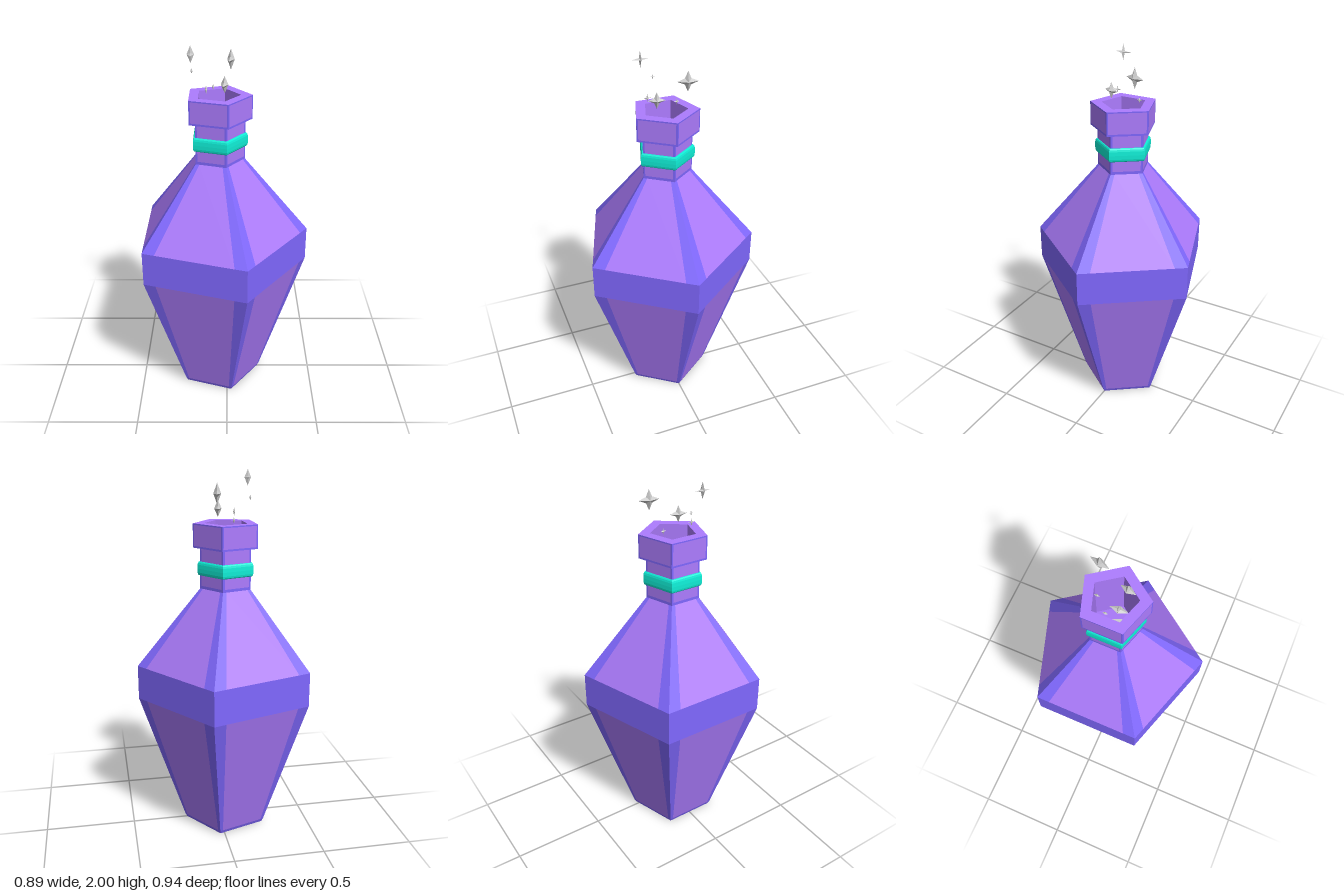
import * as THREE from 'three';

const AXIS_X = -0.048;
const SIDES = 5;

const flat = (color) => new THREE.MeshStandardMaterial({ color, flatShading: true });

function addMesh(parent, name, geometry, material) {
  const mesh = new THREE.Mesh(geometry, material);
  mesh.name = name;
  parent.add(mesh);
  return mesh;
}

function bufferFrom(positions) {
  const g = new THREE.BufferGeometry();
  g.setAttribute('position', new THREE.Float32BufferAttribute(positions, 3));
  g.computeVertexNormals();
  return g;
}

// Point on a pentagon side: t runs from one corner to the next
function sidePoint(side, t, r, y) {
  const a = (side / SIDES) * Math.PI * 2;
  const b = ((side + 1) / SIDES) * Math.PI * 2;
  return [
    r * THREE.MathUtils.lerp(Math.cos(a), Math.cos(b), t), y,
    r * THREE.MathUtils.lerp(Math.sin(a), Math.sin(b), t),
  ];
}

// Quad on a side between two rings, from fractions [s0,s1] at the start ring to [e0,e1] at the end ring
function addQuad(out, side, [r0, y0], [r1, y1], s0, s1, e0, e1) {
  const a = sidePoint(side, s0, r0, y0);
  const b = sidePoint(side, e0, r1, y1);
  const c = sidePoint(side, e1, r1, y1);
  const d = sidePoint(side, s1, r0, y0);
  out.push(...a, ...b, ...c, ...a, ...c, ...d);
}

// Bottle bands: start [radius, y], end [radius, y], trim width as a fraction of the side at start and end.
// A trim of 0.5 colours the whole band, 0 leaves it plain.
const bands = [
  [[0.233, 0], [0.243, 0.02], 0.5, 0.5],
  [[0.243, 0.02], [0.493, 0.775], 0.06, 0.12],
  [[0.493, 0.775], [0.493, 0.965], 0.5, 0.5],
  [[0.493, 0.965], [0.143, 1.385], 0.12, 0.12],
  [[0.143, 1.385], [0.143, 1.4], 0.5, 0.5],
  [[0.143, 1.4], [0.143, 1.605], 0.06, 0.06],
  [[0.143, 1.605], [0.18, 1.605], 0, 0],
  [[0.18, 1.605], [0.18, 1.615], 0.5, 0.5],
  [[0.18, 1.615], [0.18, 1.725], 0.04, 0.04],
  [[0.18, 1.725], [0.18, 1.732], 0.5, 0.5],
  [[0.18, 1.732], [0.12, 1.732], 0, 0],
  // inner wall, down to the open foot
  [[0.12, 1.732], [0.12, 1.385], 0, 0],
  [[0.12, 1.385], [0.46, 0.96], 0, 0],
  [[0.46, 0.96], [0.46, 0.78], 0, 0],
  [[0.46, 0.78], [0.21, 0], 0, 0],
  [[0.21, 0], [0.233, 0], 0, 0],
];

function createBottle() {
  const group = new THREE.Group();
  group.name = 'bottle';
  const panels = [];
  const trim = [];
  for (const [start, end, f0, f1] of bands) {
    for (let side = 0; side < SIDES; side++) {
      if (f0 > 0) {
        addQuad(trim, side, start, end, 0, f0, 0, f1);
        addQuad(trim, side, start, end, 1 - f0, 1, 1 - f1, 1);
      }
      if (f0 < 0.5) addQuad(panels, side, start, end, f0, 1 - f0, f1, 1 - f1);
    }
  }
  addMesh(group, 'bottlePanels', bufferFrom(panels), flat(0xad7cff));
  addMesh(group, 'bottleEdges', bufferFrom(trim), flat(0x8068ff));
  return group;
}

// Pentagonal collar with rounded top and bottom edges
function createCollar() {
  const profile = [
    [0.138, 1.456], [0.149, 1.457], [0.154, 1.462], [0.157, 1.472], [0.158, 1.493],
    [0.157, 1.514], [0.154, 1.524], [0.149, 1.53], [0.138, 1.531],
  ].map(([r, y]) => new THREE.Vector2(r, y));
  return new THREE.LatheGeometry(profile, SIDES, Math.PI / 2);
}

// Four-pointed sparkle lying in the YZ plane, with a raised centre on both faces
function createSparkle(size, waist, thickness) {
  const outline = [];
  for (let i = 0; i < 8; i++) {
    const a = (i / 8) * Math.PI * 2;
    const r = i % 2 ? size * waist : size;
    outline.push([0, r * Math.sin(a), r * Math.cos(a)]);
  }
  const positions = [];
  for (let i = 0; i < 8; i++) {
    const p = outline[i];
    const q = outline[(i + 1) % 8];
    positions.push(thickness, 0, 0, ...q, ...p, -thickness, 0, 0, ...p, ...q);
  }
  return bufferFrom(positions);
}

// x, y, z, size, waist, thickness, turn
const sparkles = [
  [0.02, 1.89, -0.097, 0.054, 0.42, 0.02, -0.22],
  [-0.012, 1.8, 0.055, 0.044, 0.42, 0.02, -0.22],
  [-0.178, 1.957, 0.08, 0.043, 0.22, 0.018, 0],
  [-0.104, 1.78, 0.072, 0.022, 0.25, 0.006, 0],
  [-0.072, 1.752, -0.075, 0.016, 0.35, 0.006, 0],
  [-0.178, 1.858, 0.015, 0.013, 0.3, 0.006, 0],
];

export function createModel() {
  const model = new THREE.Group();
  model.name = 'potionBottle';

  const body = new THREE.Group();
  body.name = 'body';
  body.position.x = AXIS_X;
  model.add(body);
  body.add(createBottle());
  addMesh(body, 'collar', createCollar(), flat(0x10f0d8));

  // Contents inside the hollow bottle
  const liquid = addMesh(body, 'liquid', new THREE.CylinderGeometry(0.3, 0.16, 0.67, 24), new THREE.MeshStandardMaterial({ color: 0xcccccc }));
  liquid.position.y = 0.42;

  // Sparkles rising from the mouth
  for (const [x, y, z, size, waist, thickness, turn] of sparkles) {
    const sparkle = addMesh(model, 'sparkle', createSparkle(size, waist, thickness), flat(0xcccccc));
    sparkle.position.set(x, y, z);
    sparkle.rotation.y = turn;
  }
  return model;
}
